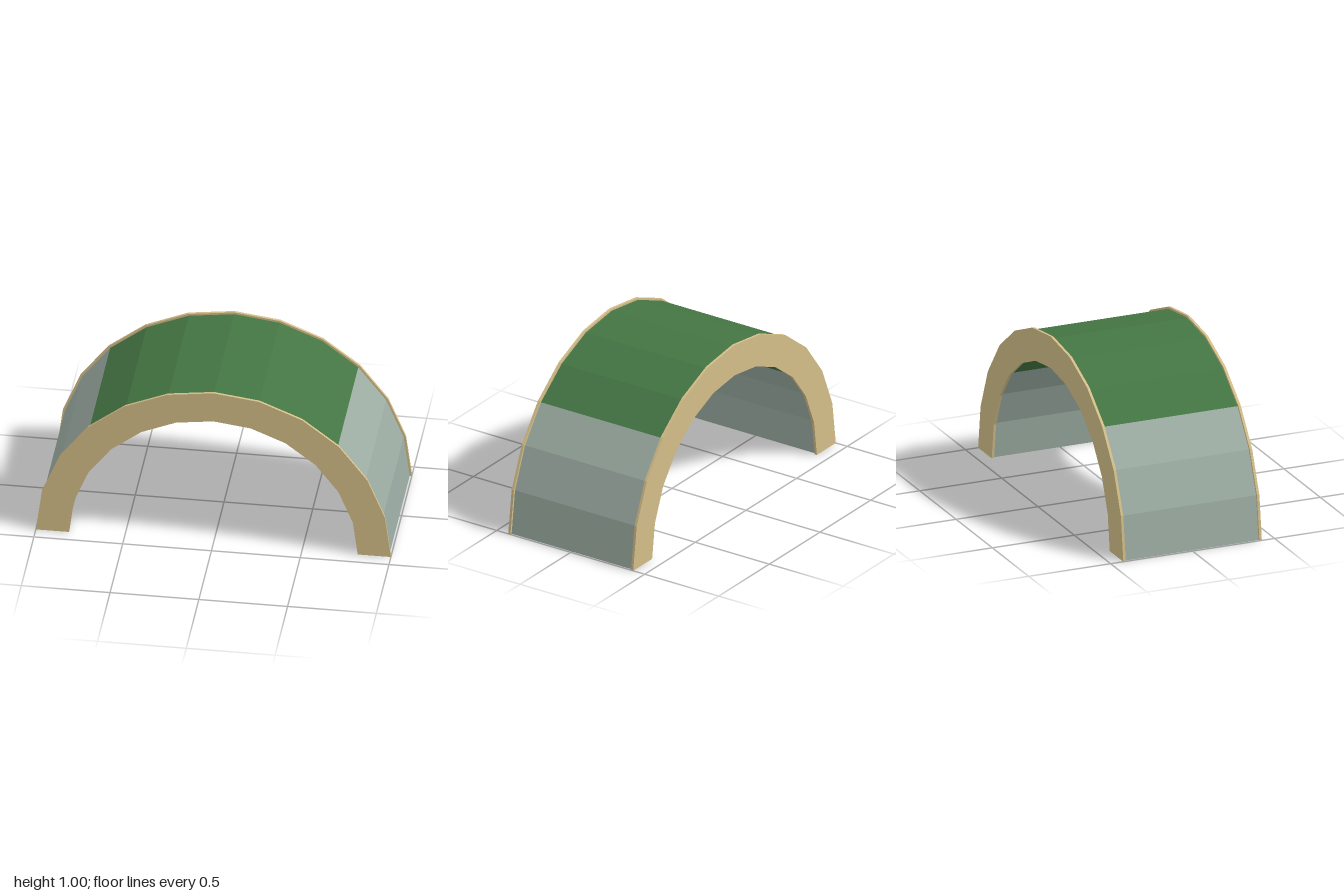
import * as THREE from 'three';

const STEP = Math.PI / 12; // one facet of the half circle

// Faceted arch section from facet a to facet b, extruded along z and centred at z
function archSection(name, a, b, inner, outer, depth, z, material) {
  const points = [];
  const add = (r, i) => points.push(new THREE.Vector2(r * Math.cos(i * STEP), r * Math.sin(i * STEP)));
  for (let i = a; i <= b; i++) add(outer, i);
  for (let i = b; i >= a; i--) add(inner, i);
  const geometry = new THREE.ExtrudeGeometry(new THREE.Shape(points), { depth, bevelEnabled: false });
  geometry.translate(0, 0, z - depth / 2);
  const mesh = new THREE.Mesh(geometry, material);
  mesh.name = name;
  return mesh;
}

export function createModel() {
  const flat = (name, color) => new THREE.MeshStandardMaterial({ name, color, flatShading: true });
  const green = flat('green', 0x447543);
  const grey = flat('greyGreen', 0x9cada3);
  const tan = flat('tan', 0xd3be88);

  const group = new THREE.Group();
  group.name = 'arch';

  // Barrel: grey legs below 45 degrees, green crown above
  const inner = 0.825, outer = 0.988, depth = 0.815;
  group.add(
    archSection('leftLeg', 0, 3, inner, outer, depth, 0, grey),
    archSection('crown', 3, 9, inner, outer, depth, 0, green),
    archSection('rightLeg', 9, 12, inner, outer, depth, 0, grey)
  );

  // Thin rims standing slightly proud at both ends
  for (const side of [1, -1]) {
    group.add(archSection(side > 0 ? 'frontRim' : 'backRim', 0, 12, 0.813, 1, 0.015, side * 0.415, tan));
  }
  return group;
}
